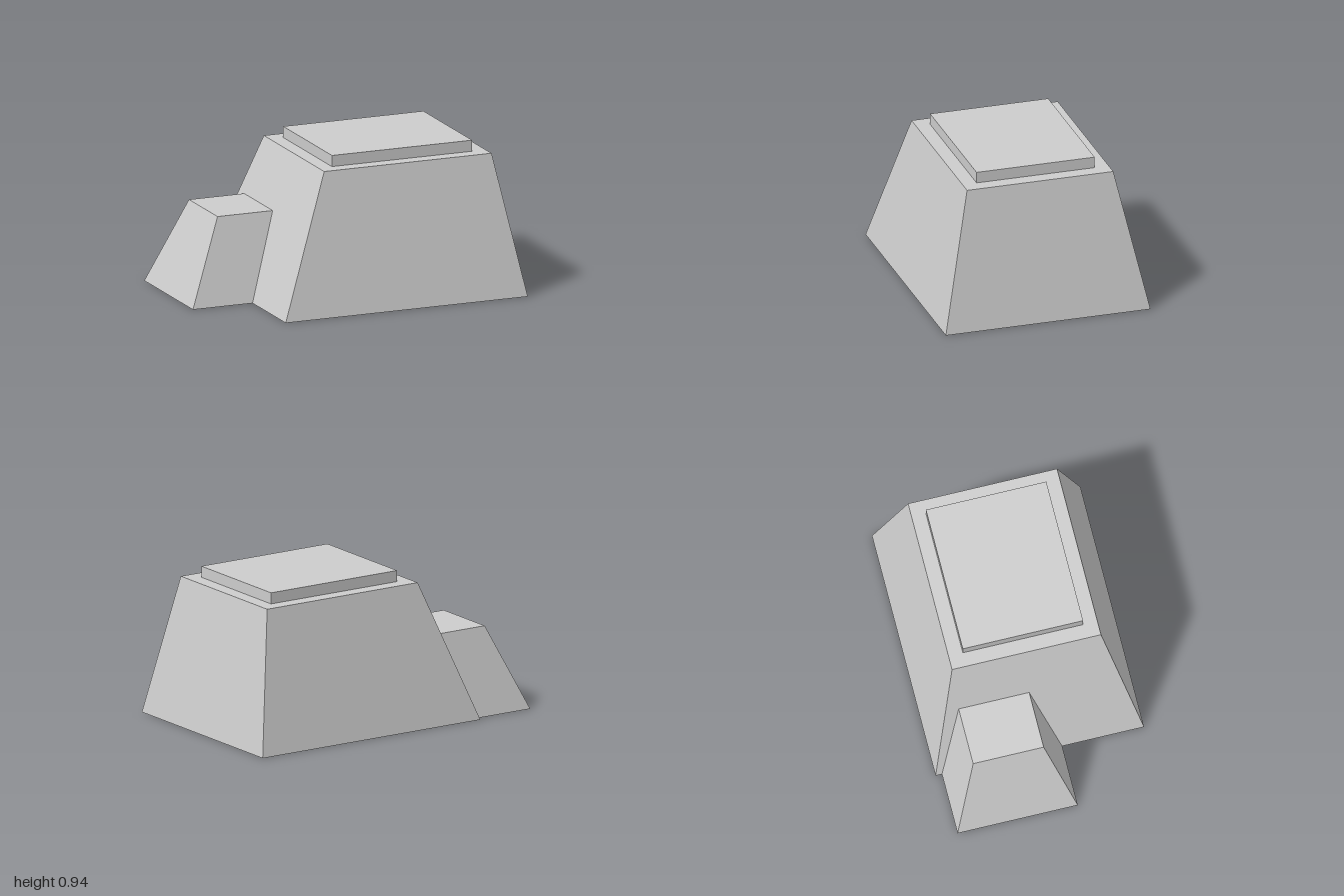
import * as THREE from 'three';

const stone = new THREE.MeshStandardMaterial({ color: 0xcccccc });
stone.name = 'pale grey';

// Block tapering between two rectangles, each given as [x0, x1, z0, z1]
function taperedBlock(name, y0, y1, base, top) {
  const geometry = new THREE.BoxGeometry(1, 1, 1).toNonIndexed();
  const p = geometry.attributes.position;
  for (let i = 0; i < p.count; i++) {
    const upper = p.getY(i) > 0;
    const r = upper ? top : base;
    p.setXYZ(i, p.getX(i) > 0 ? r[1] : r[0], upper ? y1 : y0, p.getZ(i) > 0 ? r[3] : r[2]);
  }
  geometry.computeVertexNormals();
  const mesh = new THREE.Mesh(geometry, stone);
  mesh.name = name;
  return mesh;
}

export function createModel() {
  const model = new THREE.Group();
  model.name = 'taperedBuilding';

  // Large sloped body
  model.add(taperedBlock('mainBody', 0, 0.875, [-0.605, 1, -0.655, 0.655], [-0.27, 0.84, -0.468, 0.468]));

  // Flat slab on the roof
  const slab = [-0.18, 0.75, -0.378, 0.378];
  model.add(taperedBlock('roofSlab', 0.875, 0.945, slab, slab));

  // Small annex leaning against the sloped wall
  model.add(taperedBlock('sideAnnex', 0, 0.525, [-1, -0.605, -0.615, 0.14], [-0.77, -0.404, -0.46, -0.017]));

  return model;
}
